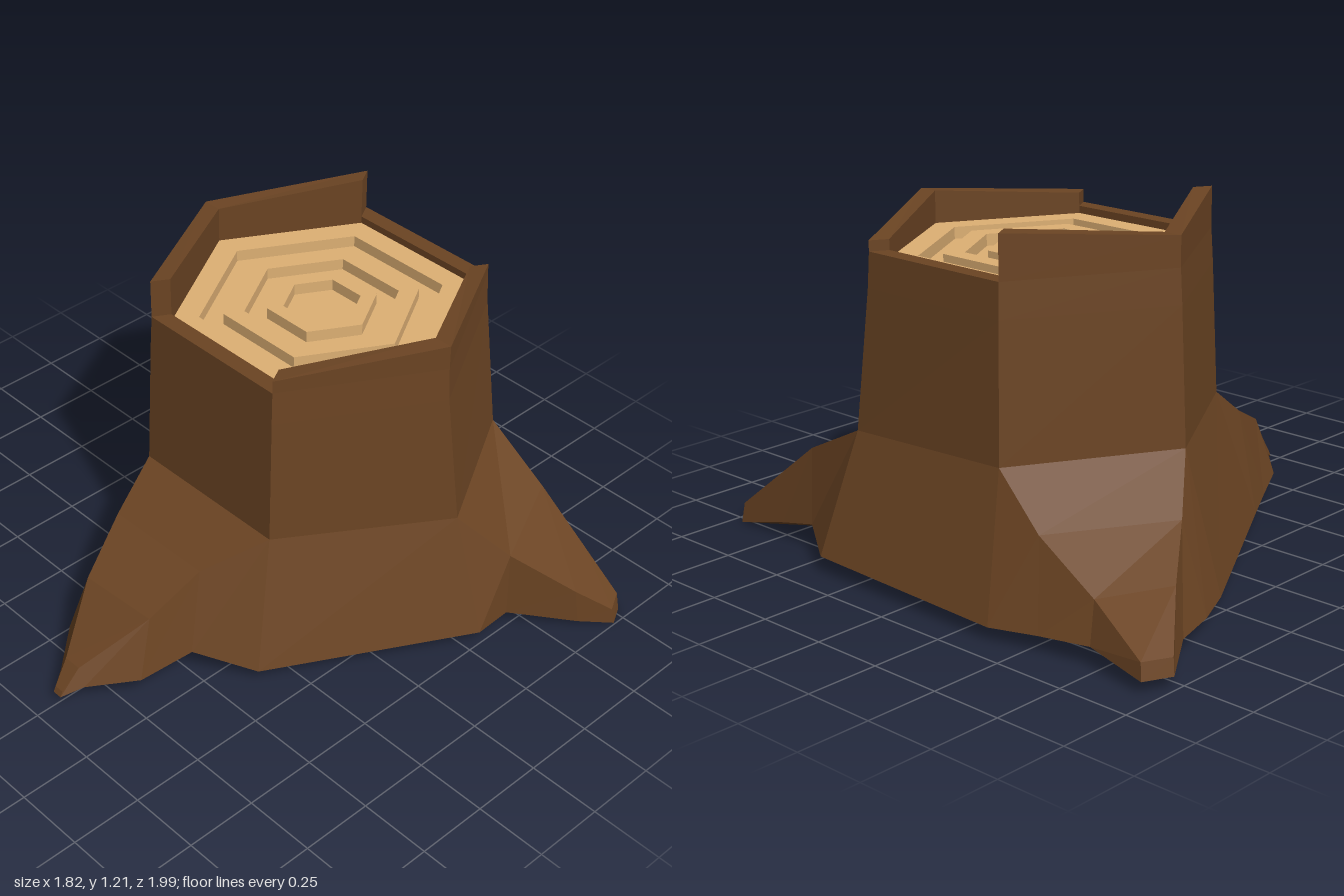
import * as THREE from 'three';

const CX = 0.265; // trunk axis
const bark = new THREE.MeshStandardMaterial({ color: 0x6b4423, flatShading: true });
const wood = new THREE.MeshStandardMaterial({ color: 0xdeb074, flatShading: true });

// Collects flat faces from corner points
class Faces {
  constructor() { this.pos = []; }
  tri(a, b, c) { this.pos.push(...a, ...b, ...c); }
  quad(a, b, c, d) { this.tri(a, b, c); this.tri(a, c, d); }
  // Wall between two rows that run left to right as seen from outside
  strip(upper, lower, closed = false) {
    const n = upper.length;
    for (let i = 0; i < (closed ? n : n - 1); i++) {
      const j = (i + 1) % n;
      this.quad(lower[i], lower[j], upper[j], upper[i]);
    }
  }
  mesh(name, material) {
    const g = new THREE.BufferGeometry();
    g.setAttribute('position', new THREE.Float32BufferAttribute(this.pos, 3));
    g.computeVertexNormals();
    const m = new THREE.Mesh(g, material);
    m.name = name;
    return m;
  }
}

// Six trunk corners, counterclockwise from above; y is one height or one per corner
function hex(radius, y) {
  return [210, 150, 90, 30, -30, -90].map((deg, i) => {
    const a = THREE.MathUtils.degToRad(deg);
    return [CX + radius * Math.cos(a), Array.isArray(y) ? y[i] : y, radius * Math.sin(a)];
  });
}

// Corners where the trunk meets the roots; the front pair flares forward
const foot = hex(0.592, 0.5);
foot[2] = [0.295, 0.475, 0.615];
foot[3] = [0.775, 0.475, 0.34];

// A root from its ridges (trunk to tip) and the ground edges below them.
// Ridges start at the trunk corners; ground edges end just below the ridge tips.
function makeRoot(index, tipY, left, leftGround, right, rightGround) {
  const under = (ridge) => {
    const [x, , z] = ridge[ridge.length - 1];
    return [x * 1.01, tipY, z * 1.01];
  };
  return {
    left: [foot[2 * index], ...left],
    leftGround: [...leftGround, under(left)],
    right: [foot[2 * index + 1], ...right],
    rightGround: [...rightGround, under(right)],
  };
}

const sideRoot = makeRoot(0, 0.04,
  [[-0.43, 0.38, -0.25], [-0.64, 0.28, -0.16], [-0.84, 0.13, -0.04], [-0.905, 0.06, -0.02]],
  [[-0.38, 0.05, -0.37], [-0.52, 0.06, -0.295], [-0.7, 0.07, -0.2], [-0.85, 0.07, -0.06]],
  [[-0.425, 0.38, 0.155], [-0.63, 0.29, 0.14], [-0.84, 0.13, 0.025], [-0.905, 0.06, 0.015]],
  [[-0.37, 0.05, 0.375], [-0.505, 0.105, 0.2], [-0.7, 0.085, 0.17], [-0.85, 0.075, 0.06]]);
const frontRoot = makeRoot(1, 0.005,
  [[0.44, 0.3, 0.735], [0.6, 0.15, 0.9], [0.7, 0.065, 0.985]],
  [[0.3, 0.05, 0.745], [0.44, 0.05, 0.74], [0.61, 0.02, 0.915]],
  [[0.75, 0.35, 0.6], [0.76, 0.2, 0.79], [0.767, 0.075, 0.95]],
  [[0.89, 0.06, 0.41], [0.78, 0.095, 0.58], [0.775, 0.06, 0.74]]);
const backRoot = makeRoot(2, 0.045,
  [[0.8, 0.34, -0.48], [0.8, 0.2, -0.7], [0.87, 0.1, -0.94]],
  [[0.91, 0.05, -0.37], [0.87, 0.06, -0.54], [0.84, 0.07, -0.72]],
  [[0.42, 0.34, -0.71], [0.6, 0.22, -0.84], [0.78, 0.1, -0.985]],
  [[0.265, 0.05, -0.74], [0.42, 0.05, -0.81], [0.6, 0.06, -0.87]]);

export function createModel() {
  const group = new THREE.Group();

  // Roots: sides and tips form one closed skirt, ridges are bridged on top
  const roots = [sideRoot, frontRoot, backRoot];
  const upper = roots.flatMap((r) => [...r.left, ...[...r.right].reverse()]);
  const lower = roots.flatMap((r) => [...r.leftGround, ...[...r.rightGround].reverse()]);
  const base = new Faces();
  base.strip(upper, lower, true);
  for (const { left, right } of roots) {
    for (let i = 0; i < left.length - 1; i++) base.quad(left[i + 1], right[i + 1], right[i], left[i]);
  }
  const centre = [CX, 0.05, 0];
  lower.forEach((p, i) => base.tri(centre, lower[(i + 1) % lower.length], p));
  group.add(base.mesh('roots', bark));

  // Trunk sides, low rim and the inside of the rim
  const RIM = 1.065, OUT = 0.565, IN = 0.5;
  const trunk = new Faces();
  const mid = hex(0.572, 0.95);
  trunk.strip(mid, foot, true);
  trunk.strip(hex(OUT, RIM), mid, true);
  trunk.strip(hex(IN, RIM), hex(OUT, RIM), true);
  trunk.strip(hex(IN, 0.98), hex(IN, RIM), true);
  group.add(trunk.mesh('trunk', bark));

  // Raised bark walls at front and back, each spanning three corners
  const tops = [1.2, 1.11, 1.15, 1.1, 1.21, 1.165];
  const rings = [hex(OUT, RIM), hex(OUT, tops), hex(IN, tops), hex(IN, RIM)];
  for (const [name, ids] of [['frontBarkWall', [1, 2, 3]], ['backBarkWall', [4, 5, 0]]]) {
    const [ob, ot, it, ib] = rings.map((ring) => ids.map((k) => ring[k]));
    const wall = new Faces();
    wall.strip(ot, ob);
    wall.strip(it, ot);
    wall.strip(ib, it);
    wall.quad(ob[0], ot[0], it[0], ib[0]);
    wall.quad(ob[2], ib[2], it[2], ot[2]);
    group.add(wall.mesh(name, bark));
  }

  // Cut wood with stepped growth rings
  const HIGH = 1.04, LOW = 1.0;
  const profile = [new THREE.Vector2(IN, 0.95), new THREE.Vector2(IN, HIGH)];
  [0.41, 0.33, 0.26, 0.185, 0.13].forEach((r, i) => {
    const [from, to] = i % 2 ? [LOW, HIGH] : [HIGH, LOW];
    profile.push(new THREE.Vector2(r, from), new THREE.Vector2(r, to));
  });
  profile.push(new THREE.Vector2(0, LOW));
  const disc = new THREE.Mesh(new THREE.LatheGeometry(profile, 6), wood);
  disc.name = 'growthRings';
  disc.position.x = CX;
  group.add(disc);

  return group;
}
